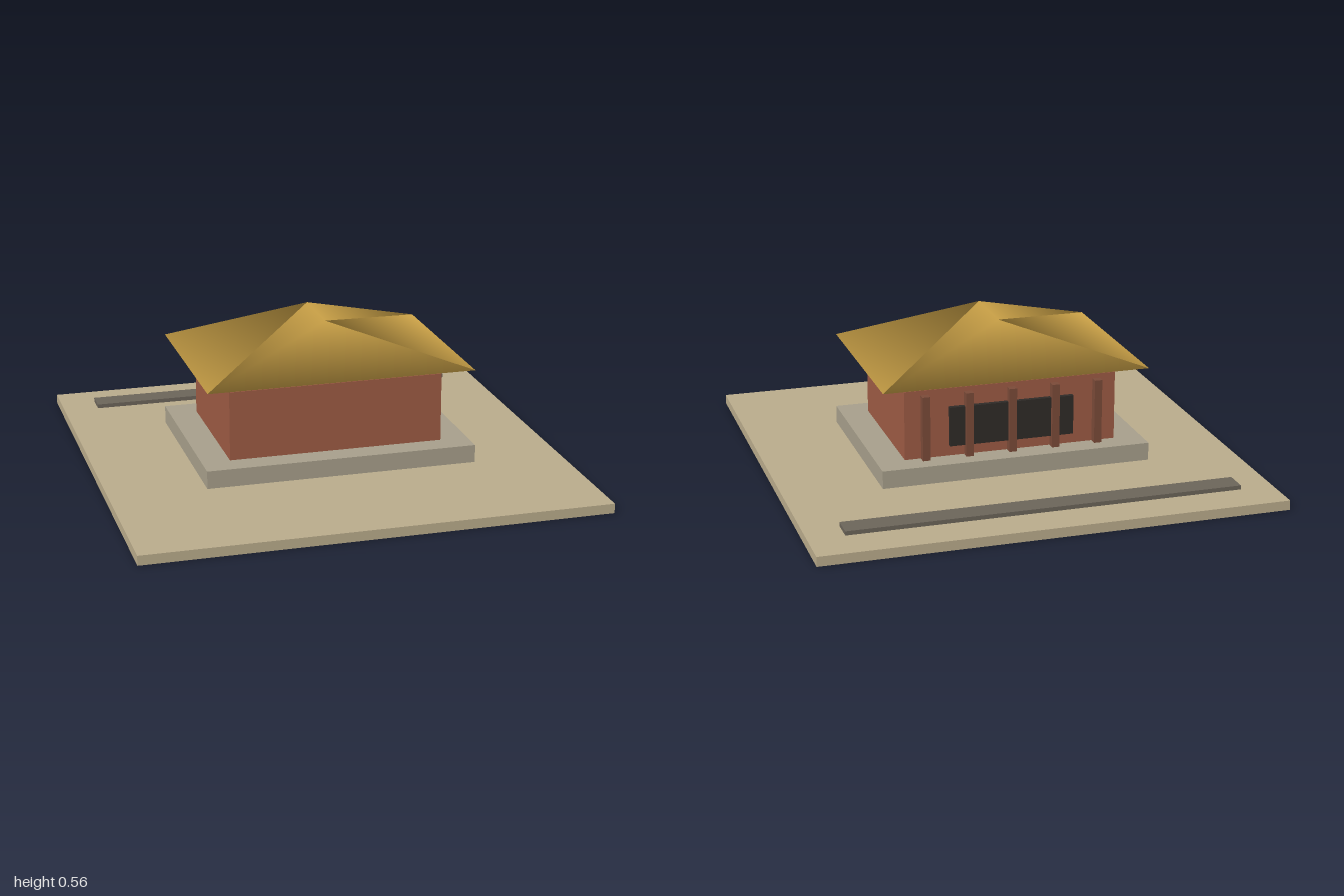
import * as THREE from 'three';

const mat = (color) => new THREE.MeshStandardMaterial({ color });

// Box standing between two heights
function slab(name, w, d, y0, y1, x, z, material) {
  const mesh = new THREE.Mesh(new THREE.BoxGeometry(w, y1 - y0, d), material);
  mesh.position.set(x, (y0 + y1) / 2, z);
  mesh.name = name;
  return mesh;
}

// Closed hip roof with shared, smooth vertices; the ridge runs along z
function hipRoof(w, d, ridge, y0, y1) {
  const x = w / 2, z = d / 2, r = ridge / 2;
  const geo = new THREE.BufferGeometry();
  geo.setAttribute('position', new THREE.Float32BufferAttribute([
    -x, y0, -z, x, y0, -z, x, y0, z, -x, y0, z, // eaves
    0, y1, -r, 0, y1, r, // ridge
  ], 3));
  geo.setIndex([
    0, 4, 1, 2, 5, 3, // hip ends
    1, 4, 5, 1, 5, 2, // right slope
    3, 5, 4, 3, 4, 0, // left slope
    0, 1, 3, 1, 2, 3, // soffit
  ]);
  geo.computeVertexNormals();
  return geo;
}

export function createModel() {
  const model = new THREE.Group();
  model.name = 'pavilion';
  model.rotation.y = -0.22;

  // Site
  model.add(slab('ground', 1.675, 1.675, 0, 0.035, 0, 0, mat(0xb8aa8a)));
  model.add(slab('path', 1.42, 0.085, 0.04, 0.055, 0, -0.661, mat(0x6b6459)));

  // Building
  model.add(slab('plinth', 0.99, 0.72, 0.05, 0.115, 0, 0, mat(0xa69e8a)));
  model.add(slab('walls', 0.785, 0.547, 0.115, 0.368, 0, 0, mat(0x9c5a43)));
  model.add(slab('window', 0.46, 0.02, 0.155, 0.3, 0, -0.281, mat(0x2e2a27)));

  // Row of posts along the back
  const postMat = mat(0x7a4a38);
  const posts = new THREE.Group();
  posts.name = 'posts';
  for (let i = -2; i <= 2; i++) {
    posts.add(slab('post', 0.028, 0.028, 0.115, 0.352, i * 0.16, -0.29, postMat));
  }
  model.add(posts);

  // Roof
  const roof = new THREE.Mesh(hipRoof(0.978, 0.722, 0.245, 0.4, 0.555), mat(0xc9a046));
  roof.name = 'roof';
  model.add(roof);

  const root = new THREE.Group();
  root.add(model);
  return root;
}
